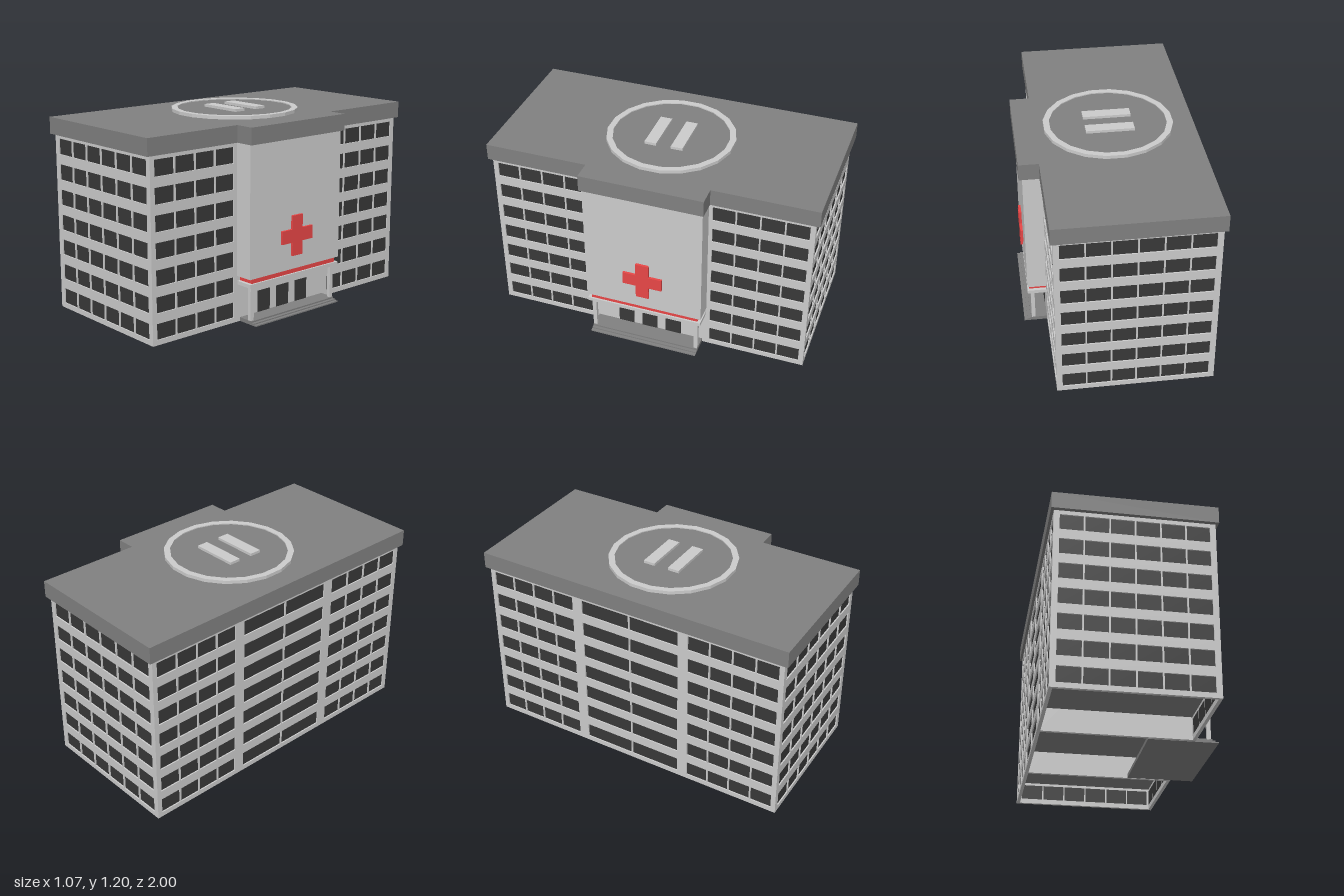
import * as THREE from 'three';

const mat = (color) => new THREE.MeshStandardMaterial({ color, flatShading: true });
const WALL = mat(0xcccccc), ROOF = mat(0x808080), GLASS = mat(0x383838), RED = mat(0xe84646);

const HEIGHT = 1.065, THICK = 0.02;
const LEFT = -0.52, RIGHT = 0.395, END = 0.975, MID = 0.355;
const FLOORS = 7, FLOOR_STEP = 0.1528, SILL = 0.03, WIN_H = 0.094;

function add(parent, name, geometry, material) {
  const mesh = new THREE.Mesh(geometry, material);
  mesh.name = name;
  parent.add(mesh);
  return mesh;
}

// box given by its limits on each axis
function box(parent, name, [x0, x1], [y0, y1], [z0, z1], material) {
  const mesh = add(parent, name, new THREE.BoxGeometry(x1 - x0, y1 - y0, z1 - z0), material);
  mesh.position.set((x0 + x1) / 2, (y0 + y1) / 2, (z0 + z1) / 2);
  return mesh;
}

function rectangle(Type, x0, y0, x1, y1) {
  const p = new Type();
  p.moveTo(x0, y0).lineTo(x1, y0).lineTo(x1, y1).lineTo(x0, y1).closePath();
  return p;
}

// wall facing +z with a grid of recessed windows
function windowWall(name, length, columns, span) {
  const group = new THREE.Group();
  group.name = name;
  const shape = rectangle(THREE.Shape, -length / 2, 0, length / 2, HEIGHT);
  const gap = 0.009, w = (span - gap * (columns - 1)) / columns;
  for (let f = 0; f < FLOORS; f++) {
    for (let c = 0; c < columns; c++) {
      const x = -span / 2 + c * (w + gap), y = SILL + f * FLOOR_STEP;
      shape.holes.push(rectangle(THREE.Path, x, y, x + w, y + WIN_H));
      box(group, 'windowPane', [x, x + w], [y, y + WIN_H], [-THICK, -0.008], GLASS);
    }
  }
  const geo = new THREE.ExtrudeGeometry(shape, { depth: THICK, bevelEnabled: false });
  geo.translate(0, 0, -THICK);
  add(group, 'wallPanel', geo, WALL);
  return group;
}

function placeWall(parent, wall, x, z, turn) {
  wall.position.set(x, 0, z);
  wall.rotation.y = turn;
  parent.add(wall);
}

export function createModel() {
  const model = new THREE.Group();
  model.name = 'hospitalBuilding';
  const centreX = (LEFT + RIGHT) / 2;

  // outer walls
  for (const s of [1, -1]) {
    placeWall(model, windowWall(s > 0 ? 'frontWall' : 'backWall', RIGHT - LEFT, 6, 0.848),
      centreX, s * END, s > 0 ? 0 : Math.PI);
    const wingZ = s * (MID + END) / 2;
    placeWall(model, windowWall('entranceSideWingWall', END - MID, 4, 0.56), RIGHT, wingZ, Math.PI / 2);
    placeWall(model, windowWall('rearSideWingWall', END - MID, 4, 0.56), LEFT, wingZ, -Math.PI / 2);
    box(model, 'dividingWall', [LEFT + 0.01, RIGHT - 0.001], [0, HEIGHT],
      [s * MID - 0.01, s * MID + 0.01], WALL);
  }
  placeWall(model, windowWall('rearMiddleWall', 2 * MID, 2, 0.64), LEFT, 0, -Math.PI / 2);
  box(model, 'entranceWall', [RIGHT - THICK, RIGHT], [0, HEIGHT], [-MID, MID], WALL);

  // ground storey ceiling, seen through the open underside
  box(model, 'ceilingSlab', [LEFT + THICK, RIGHT - THICK], [0.14, 0.15],
    [-END + THICK, END - THICK], ROOF);

  // projecting bay above the entrance
  box(model, 'entranceBay', [RIGHT, 0.508], [0.28, HEIGHT], [-0.363, 0.363], WALL);
  box(model, 'redBand', [RIGHT, 0.497], [0.25, 0.28], [-0.34, 0.34], RED);
  box(model, 'canopy', [RIGHT, 0.508], [0.228, 0.25], [-0.36, 0.36], WALL);
  for (const s of [1, -1]) {
    box(model, 'canopyColumn', [0.466, 0.489], [0.02, 0.228],
      [s * 0.328 - 0.012, s * 0.328 + 0.012], WALL);
  }
  for (const z of [-0.153, 0, 0.153]) {
    box(model, 'entranceDoor', [RIGHT - 0.01, RIGHT + 0.003], [0.022, 0.155], [z - 0.049, z + 0.049], GLASS);
  }

  // entrance platform with two low steps
  [[0.535, 0.007], [0.516, 0.014], [0.497, 0.023]].forEach(([x, y], i) => {
    box(model, 'entranceStep', [0.12, x], [i ? 0.002 : 0, y], [-0.34, 0.34], ROOF);
  });

  // plain wall cross, cut from one outline
  const a = 0.04, b = 0.122;
  const outline = [[a, b], [-a, b], [-a, a], [-b, a], [-b, -a], [-a, -a],
    [-a, -b], [a, -b], [a, -a], [b, -a], [b, a], [a, a]];
  const cross = new THREE.Shape(outline.map(([x, y]) => new THREE.Vector2(x, y)));
  const sign = add(model, 'wallCross',
    new THREE.ExtrudeGeometry(cross, { depth: 0.016, bevelEnabled: false }), RED);
  sign.position.set(0.507, 0.486, 0);
  sign.rotation.y = Math.PI / 2;

  // overhanging roof with a step over the bay
  const roof = new THREE.Shape([[-0.537, -1], [0.41, -1], [0.41, -0.373], [0.528, -0.373],
    [0.528, 0.373], [0.41, 0.373], [0.41, 1], [-0.537, 1]].map(([x, y]) => new THREE.Vector2(x, y)));
  const roofMesh = add(model, 'roof',
    new THREE.ExtrudeGeometry(roof, { depth: 0.1, bevelEnabled: false }), ROOF);
  roofMesh.rotation.x = -Math.PI / 2;
  roofMesh.position.y = HEIGHT;

  // landing pad: dark disc, pale raised rim and two landing bars
  const pad = new THREE.Group();
  pad.name = 'landingPad';
  pad.position.set(-0.03, 1.165, 0.008);
  model.add(pad);
  const SIDES = 20, polygon = (r) => Array.from({ length: SIDES }, (_, i) => {
    const t = (i + 0.5) / SIDES * Math.PI * 2;
    return new THREE.Vector2(r * Math.cos(t), r * Math.sin(t));
  });
  const rim = new THREE.Shape(polygon(0.385));
  rim.holes.push(new THREE.Path(polygon(0.348)));
  const rimMesh = add(pad, 'padRim',
    new THREE.ExtrudeGeometry(rim, { depth: 0.02, bevelEnabled: false }), WALL);
  rimMesh.rotation.x = -Math.PI / 2;
  const disc = add(pad, 'padDisc', new THREE.CylinderGeometry(0.35, 0.35, 0.014, SIDES), ROOF);
  disc.rotation.y = Math.PI / SIDES;
  disc.position.y = 0.007;
  for (const s of [1, -1]) {
    box(pad, 'landingBar', [-0.143, 0.143], [0.01, 0.03], [s * 0.081 - 0.036, s * 0.081 + 0.036], WALL);
  }
  return model;
}
